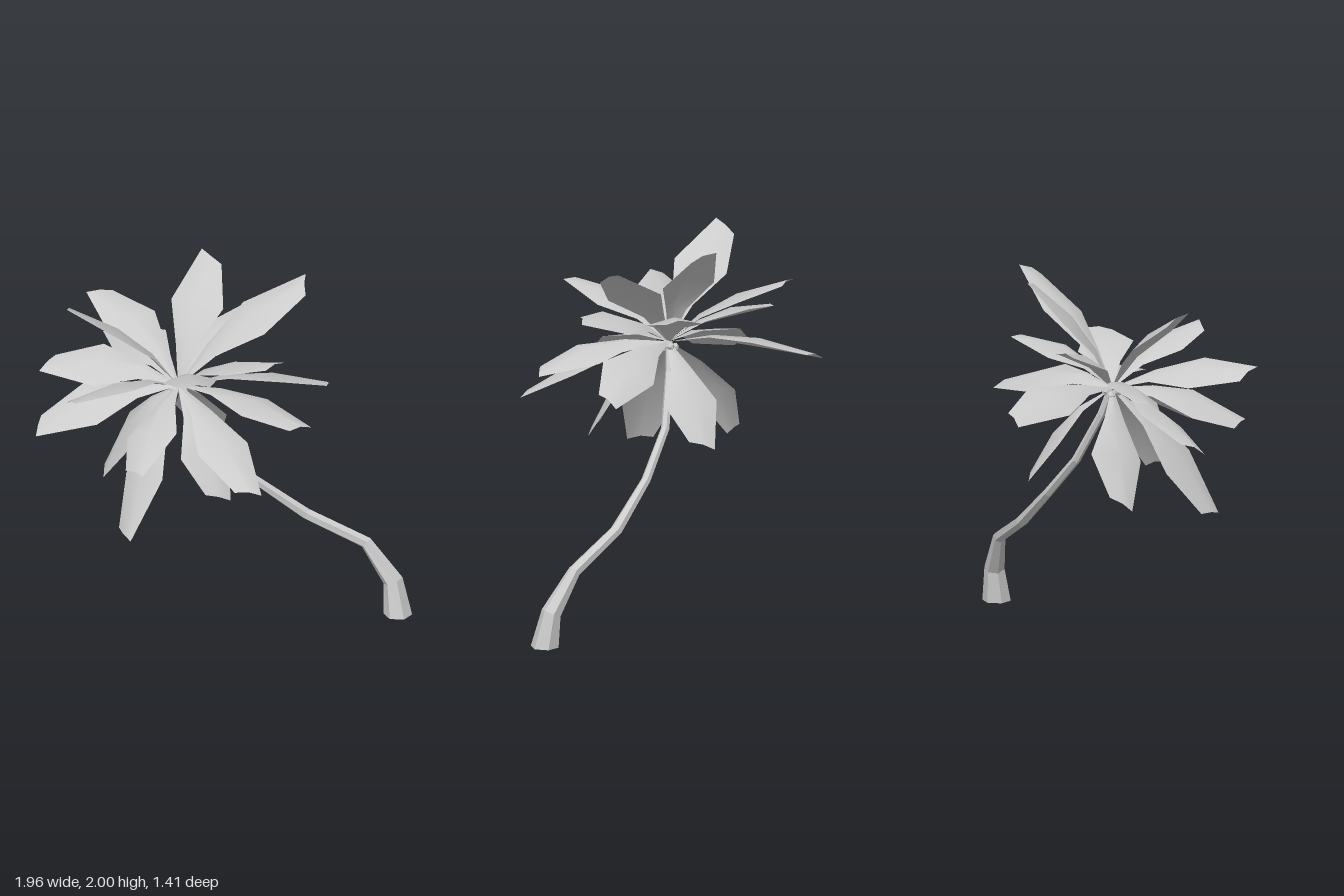
import * as THREE from 'three';

const CROWN = new THREE.Vector3(-0.24, 1.41, 0.005);
const UP = new THREE.Vector3(0, 1, 0);

// Centre of each leaf tip, and roll of the leaf about its length
const TIPS = [
  [-0.81, 1.91, 0.15, -0.25], [-0.1, 1.98, -0.39, 0], [0.41, 1.93, -0.2, -0.25],
  [-0.69, 1.74, -0.43, 0.2], [-0.77, 1.57, 0.57, -0.35], [-0.94, 1.49, -0.06, 0.4],
  [-0.97, 1.24, 0.19, 0.4], [-0.64, 0.88, -0.09, 0.4], [-0.5, 0.75, 0.47, -0.35],
  [-0.43, 1.21, 0.66, -0.3], [-0.09, 0.95, -0.4, 0], [0, 0.92, 0.34, 0],
  [0.18, 1.1, 0.64, 0], [0.53, 1.3, -0.31, 0.35], [0.28, 1.61, 0.13, 0.2],
  [-0.1, 1.68, 0.56, 0], [0.08, 1.66, -0.39, 0], [-0.63, 1.4, -0.7, 0.35],
  [0.43, 1.33, 0.3, 0.1],
];

// Leaf outline rows: position along the leaf, half width, upward bow, fold of the rim
const ROWS = [
  [0.02, 0.008, 0, 0], [0.3, 0.06, 0.055, 0.02], [0.62, 0.15, 0.06, 0.04], [1, 0.065, 0, 0.015],
];

// Geometry from vertex rows of equal length
function gridGeometry(rows, closed) {
  const n = rows[0].length, index = [];
  for (let r = 0; r < rows.length - 1; r++) {
    for (let i = 0; i < (closed ? n : n - 1); i++) {
      const a = r * n + i, b = r * n + (i + 1) % n;
      index.push(a, b, a + n, b, b + n, a + n);
    }
  }
  const geo = new THREE.BufferGeometry().setFromPoints(rows.flat());
  geo.setIndex(index);
  geo.computeVertexNormals();
  return geo;
}

// Folded leaf with a slanted blunt tip
function leafGeometry(tip, roll) {
  const along = tip.clone().sub(CROWN);
  const d = along.clone().normalize();
  const level = new THREE.Vector3(d.z, 0, -d.x).normalize();
  const lift = d.clone().cross(level);
  const side = level.clone().multiplyScalar(Math.cos(roll)).addScaledVector(lift, -Math.sin(roll));
  const up = d.clone().cross(side);
  const rows = ROWS.map(([t, half, bow, fold], r) => [1, 0, -1].map((s) =>
    CROWN.clone()
      .addScaledVector(along, t)
      .addScaledVector(side, s * half)
      .addScaledVector(lift, bow)
      .addScaledVector(up, -Math.abs(s) * fold)
      .addScaledVector(d, r === ROWS.length - 1 ? s * half * 0.48 : 0)));
  return gridGeometry(rows, false);
}

// Bent six-sided trunk: x, y, z, radius
function trunkGeometry() {
  const path = [
    [0.905, 0, -0.21, 0.076], [0.878, 0.185, -0.232, 0.054], [0.733, 0.39, -0.26, 0.034],
    [0.415, 0.55, -0.256, 0.032], [0.145, 0.765, -0.21, 0.025], [-0.075, 0.99, -0.135, 0.023],
    [-0.2, 1.26, -0.04, 0.021], [-0.24, 1.41, 0, 0.018],
  ];
  const pts = path.map((p) => new THREE.Vector3(p[0], p[1], p[2]));
  const last = pts.length - 1;
  const rows = pts.map((p, i) => {
    const dir = i === 0 ? UP.clone()
      : pts[Math.min(i + 1, last)].clone().sub(p).normalize()
        .add(p.clone().sub(pts[i - 1]).normalize()).normalize();
    const turn = new THREE.Quaternion().setFromUnitVectors(UP, dir);
    return Array.from({ length: 6 }, (_, k) => {
      const a = k * Math.PI / 3;
      return new THREE.Vector3(Math.cos(a), 0, -Math.sin(a))
        .multiplyScalar(path[i][3]).applyQuaternion(turn).add(p);
    });
  });
  // Close both ends
  rows.unshift(Array.from({ length: 6 }, () => pts[0].clone()));
  rows.push(Array.from({ length: 6 }, () => pts[last].clone()));
  return gridGeometry(rows, true);
}

export function createModel() {
  const group = new THREE.Group();
  const solid = new THREE.MeshStandardMaterial({ color: 0xcccccc, flatShading: true });
  const thin = new THREE.MeshStandardMaterial({ color: 0xcccccc, side: THREE.DoubleSide });

  const add = (name, geo, mat, parent = group) => {
    const mesh = new THREE.Mesh(geo, mat);
    mesh.name = name;
    parent.add(mesh);
    return mesh;
  };

  add('trunk', trunkGeometry(), solid);

  // Leaves radiating from the crown
  const leaves = new THREE.Group();
  leaves.name = 'leaves';
  group.add(leaves);
  TIPS.forEach(([x, y, z, roll]) => add('leaf', leafGeometry(new THREE.Vector3(x, y, z), roll), thin, leaves));

  // Small nuts hanging around the trunk top
  for (let i = 0; i < 4; i++) {
    const a = i * Math.PI / 2 + 0.5;
    add('nut', new THREE.IcosahedronGeometry(0.024, 0), solid)
      .position.set(CROWN.x + 0.035 * Math.cos(a), 1.375 + 0.015 * (i % 2), CROWN.z + 0.035 * Math.sin(a));
  }
  return group;
}
